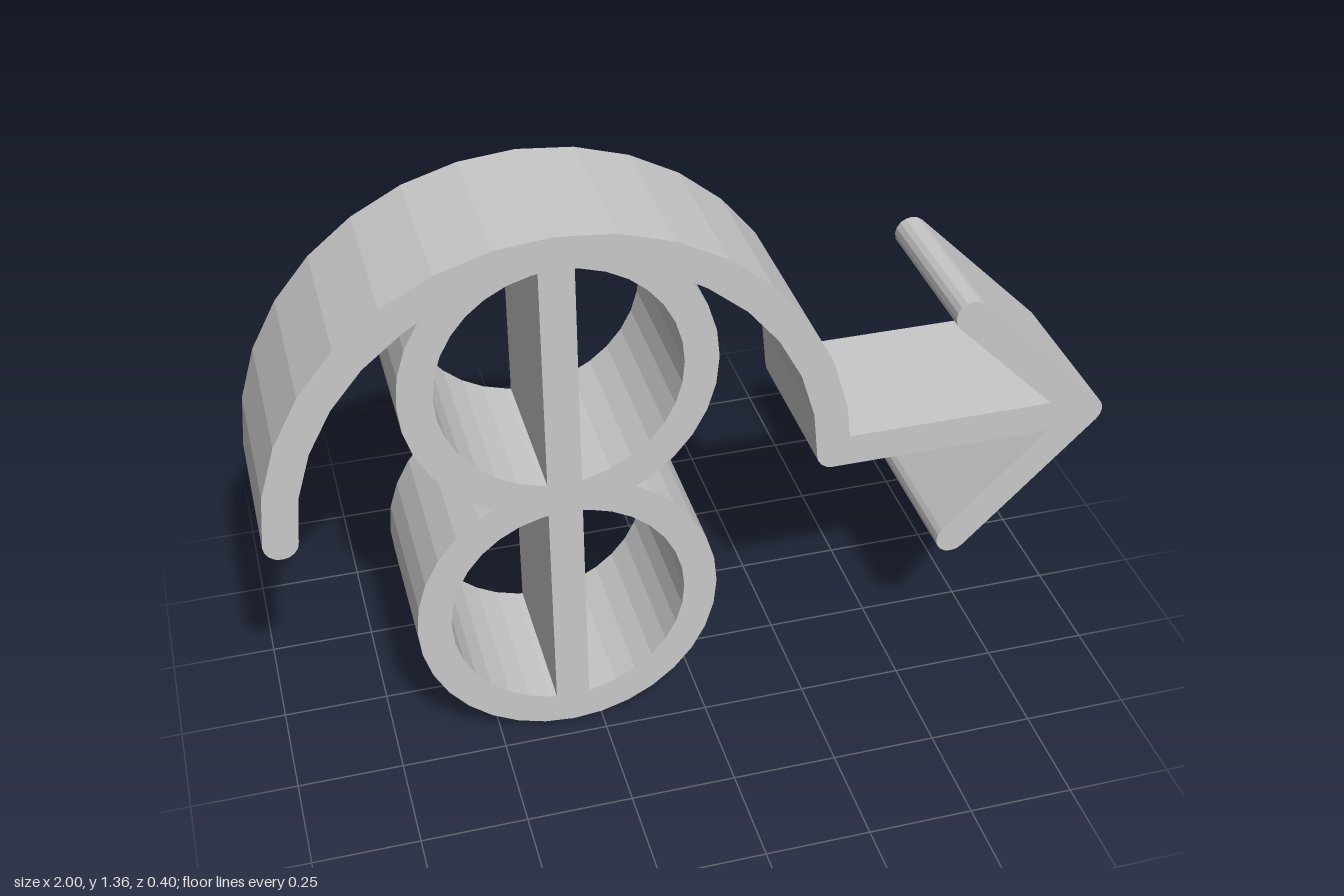
import * as THREE from 'three';

const PI = Math.PI;
const H = 0.04;            // half the stroke width
const DEPTH = 0.4;
const CX = -0.32;          // axis of the rings and the arch
const MID = 0.68;          // height of the arrow shaft
const TOP = 1.0, LOW = 0.36; // ring centres

// Points on a circle: both ends plus every whole step between them
function arc(cx, cy, r, a0, a1, step = PI / 16) {
  const angles = [a0];
  const dir = Math.sign(a1 - a0);
  const inside = a => (a - a0) * dir > 1e-3 && (a1 - a) * dir > 1e-3;
  const n0 = Math.round(a0 / step), n1 = Math.round(a1 / step);
  for (let n = n0; n * dir <= n1 * dir; n += dir) {
    if (inside(n * step)) angles.push(n * step);
  }
  angles.push(a1);
  return angles.map(a => new THREE.Vector2(cx + r * Math.cos(a), cy + r * Math.sin(a)));
}

const cap = (x, y, a0, a1) => arc(x, y, H, a0, a1, PI / 8);

export function createModel() {
  const group = new THREE.Group();
  group.name = 'archRingsAndArrow';
  const grey = new THREE.MeshStandardMaterial({ color: 0xc8c8c8 });
  grey.name = 'grey';

  // Angles where the strokes meet
  const shaft = Math.asin(H / 0.68);           // arch outside and shaft top
  const archIn = Math.atan2(0.52, 0.2993);     // arch inside and upper ring
  const ringIn = Math.atan2(0.2, 0.2993);      // same point seen from the ring
  const waist = Math.acos(0.1649 / 0.36);      // the two rings
  const crotch = 0.96 - H * (1 + Math.SQRT2);  // shaft and arrow barbs

  const outline = [
    // outside of the arch
    ...arc(CX, MID, 0.68, PI, shaft),
    // arrow: shaft top, upper barb, tip, lower barb, shaft underside
    new THREE.Vector2(crotch, MID + H),
    ...cap(0.64, 1.0, 5 * PI / 4, PI / 4),
    ...cap(0.96, MID, PI / 4, -PI / 4),
    ...cap(0.64, 0.36, -PI / 4, -5 * PI / 4),
    new THREE.Vector2(crotch, MID - H),
    ...cap(0.32, MID, -PI / 2, -PI).slice(0, -1),
    // inside of the arch, then around both rings
    ...arc(CX, MID, 0.6, 0, archIn),
    ...arc(CX, TOP, 0.36, ringIn, -waist).slice(1),
    ...arc(CX, LOW, 0.36, waist, -PI - waist).slice(1),
    ...arc(CX, TOP, 0.36, waist - PI, -PI - ringIn).slice(1),
    // inside of the arch down to its rounded free end
    ...arc(CX, MID, 0.6, PI - archIn, PI).slice(1, -1),
    ...cap(-0.96, MID, 0, -PI).slice(0, -1),
  ];
  const shape = new THREE.Shape(outline);

  // Half-round openings on either side of the upright bar
  const a = Math.acos(H / 0.28);
  for (const y of [LOW, TOP]) {
    for (const turn of [0, PI]) {
      shape.holes.push(new THREE.Path(arc(CX, y, 0.28, turn - a, turn + a)));
    }
  }

  const geometry = new THREE.ExtrudeGeometry(shape, { depth: DEPTH, bevelEnabled: false });
  geometry.translate(0, 0, -DEPTH / 2);
  const mesh = new THREE.Mesh(geometry, grey);
  mesh.name = 'archRingsAndArrowBody';
  group.add(mesh);
  return group;
}
